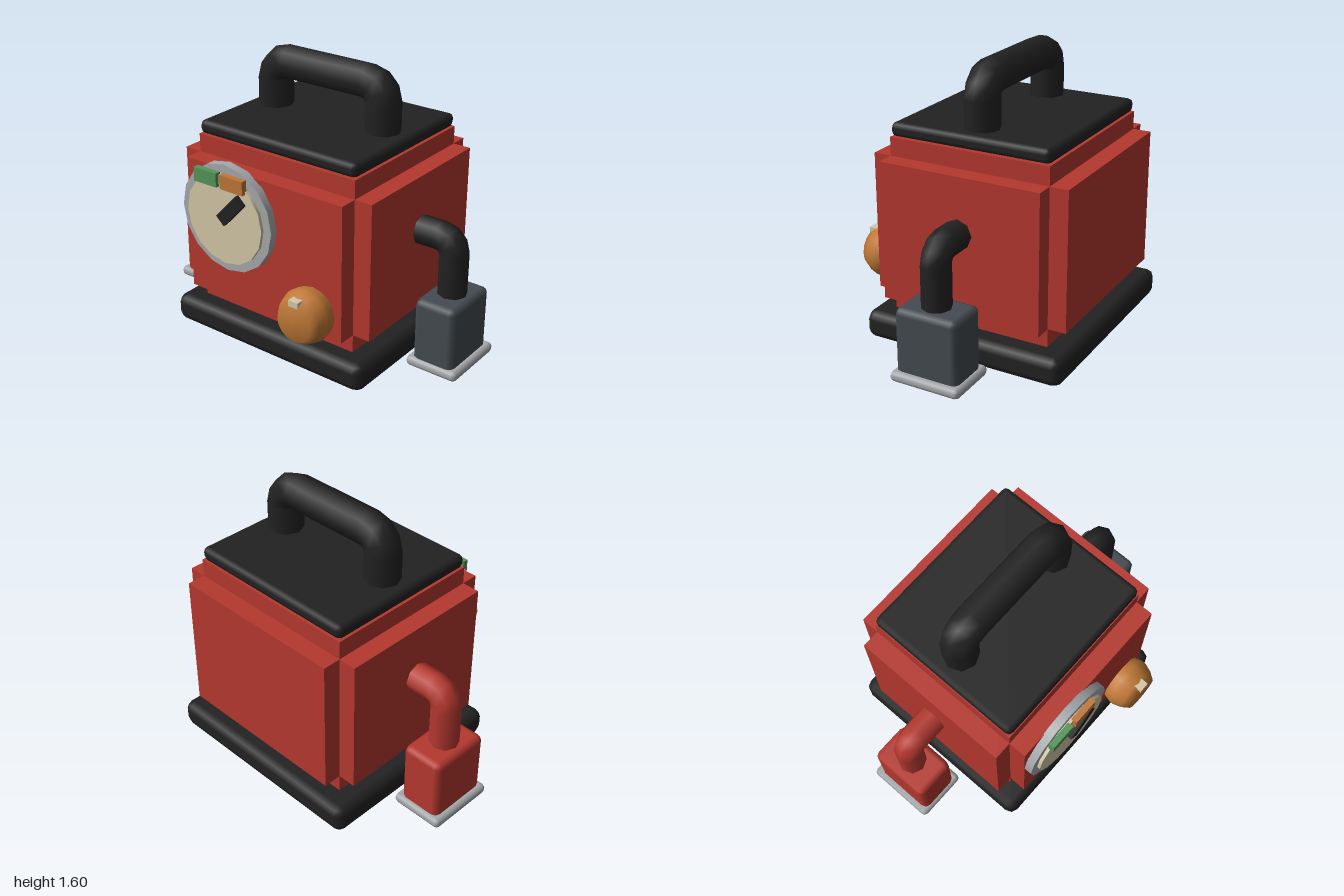
import * as THREE from 'three';
import { RoundedBoxGeometry } from 'three/addons/geometries/RoundedBoxGeometry.js';

const material = (name, color) => {
  const m = new THREE.MeshStandardMaterial({ color });
  m.name = name;
  return m;
};

// Path of straight runs joined by three-step quarter bends, sampled exactly at its corners
class PipePath extends THREE.Curve {
  constructor(samples) {
    super();
    this.samples = samples;
  }
  at(u) {
    return this.samples[Math.round(u * (this.samples.length - 1))];
  }
  getPoint(u, target = new THREE.Vector3()) {
    return target.copy(this.at(u).point);
  }
  getPointAt(u, target) {
    return this.getPoint(u, target);
  }
  getTangentAt(u, target = new THREE.Vector3()) {
    return target.copy(this.at(u).tangent);
  }
}

// Pipe through right-angled corners; each bend is as wide as the pipe radius
function pipe(corners, radius) {
  const pts = corners.map(([x, y]) => new THREE.Vector3(x, y, 0));
  const dir = i => pts[i + 1].clone().sub(pts[i]).normalize();
  const bend = radius * 1.01;
  const samples = [{ point: pts[0], tangent: dir(0) }];
  for (let i = 1; i < pts.length - 1; i++) {
    const a = dir(i - 1), b = dir(i);
    const center = pts[i].clone().addScaledVector(a, -bend).addScaledVector(b, bend);
    for (let k = 0; k <= 3; k++) {
      const t = (k / 3) * Math.PI / 2, c = Math.cos(t), s = Math.sin(t);
      samples.push({
        point: center.clone().addScaledVector(a, bend * s).addScaledVector(b, -bend * c),
        tangent: a.clone().multiplyScalar(c).addScaledVector(b, s),
      });
    }
  }
  samples.push({ point: pts[pts.length - 1], tangent: dir(pts.length - 2) });
  return new THREE.TubeGeometry(new PipePath(samples), samples.length - 1, radius, 8, false);
}

export function createModel() {
  const model = new THREE.Group();
  model.name = 'boxRobot';

  const red = material('red', 0xb5382f);
  const black = material('black', 0x222222);
  const slate = material('slate', 0x444b50);
  const silver = material('silver', 0xa6a9ac);
  const cream = material('cream', 0xd4c8a8);
  const copper = material('copper', 0xbf7836);
  const green = material('green', 0x559558);

  const add = (name, geometry, mat, x = 0, y = 0, z = 0, parent = model) => {
    const mesh = new THREE.Mesh(geometry, mat);
    mesh.name = name;
    mesh.position.set(x, y, z);
    parent.add(mesh);
    return mesh;
  };
  const box = (w, h, d) => new THREE.BoxGeometry(w, h, d);
  const chamfered = (w, h, d, r) => new RoundedBoxGeometry(w, h, d, 1, r);
  const midZ = -0.07;

  // Body: a core with raised panels on its four sides
  add('bodyCore', box(1.05, 1.0, 0.945), red, 0, 0.66, midZ);
  add('sidePanels', box(1.26, 0.79, 0.945), red, 0, 0.66, midZ);
  add('frontBackPanels', box(1.05, 0.79, 1.155), red, 0, 0.66, midZ);

  // Base, lid and carrying handle
  add('base', chamfered(1.31, 0.16, 1.2, 0.05), black, 0, 0.08, -0.075);
  add('lid', chamfered(1.05, 0.08, 0.945, 0.03), black, 0, 1.2, midZ);
  add('handle', pipe([[-0.365, 1.2], [-0.365, 1.5], [0.365, 1.5], [0.365, 1.2]], 0.1), black, 0, 0, midZ);

  // Arms with a block hand resting on a silver foot plate
  for (const [side, s, armMat, handMat] of [['left', 1, black, slate], ['right', -1, red, red]]) {
    const arm = new THREE.Group();
    arm.name = side + 'Arm';
    model.add(arm);
    add(side + 'ArmPipe', pipe([[s * 0.6, 0.74], [s * 0.84, 0.74], [s * 0.84, 0.38]], 0.083), armMat, 0, 0, midZ, arm);
    add(side + 'Hand', chamfered(0.25, 0.41, 0.37, 0.035), handMat, s * 0.84, 0.215, midZ, arm);
    add(side + 'FootPlate', chamfered(0.315, 0.058, 0.415, 0.025), silver, s * 0.842, 0.035, -0.073, arm);
  }

  // Dial: rim, face, pointer and two indicator blocks
  const dial = new THREE.Group();
  dial.name = 'dial';
  dial.position.set(-0.212, 0.792, 0);
  model.add(dial);
  const disc = (r, d) => new THREE.CylinderGeometry(r, r, d, 16).rotateX(Math.PI / 2);
  add('dialRim', disc(0.313, 0.05), silver, 0, 0, 0.528, dial);
  add('dialFace', disc(0.262, 0.03), cream, 0, 0, 0.557, dial);
  add('pointer', box(0.205, 0.07, 0.03), black, 0.064, 0.075, 0.582, dial).rotation.z = 0.82;
  add('greenIndicator', box(0.157, 0.08, 0.035), green, -0.105, 0.228, 0.577, dial);
  add('copperIndicator', box(0.157, 0.08, 0.035), copper, 0.077, 0.228, 0.577, dial);

  // Rounded control knob with a small marker
  const profile = [[0.14, 0.5], [0.154, 0.55], [0.154, 0.58], [0.136, 0.63], [0.108, 0.672], [0, 0.676]]
    .map(([r, z]) => new THREE.Vector2(r, z));
  add('knob', new THREE.LatheGeometry(profile, 16).rotateX(Math.PI / 2), copper, 0.34, 0.398, 0);
  add('knobMarker', box(0.062, 0.034, 0.05), cream, 0.34, 0.512, 0.652);

  return model;
}
